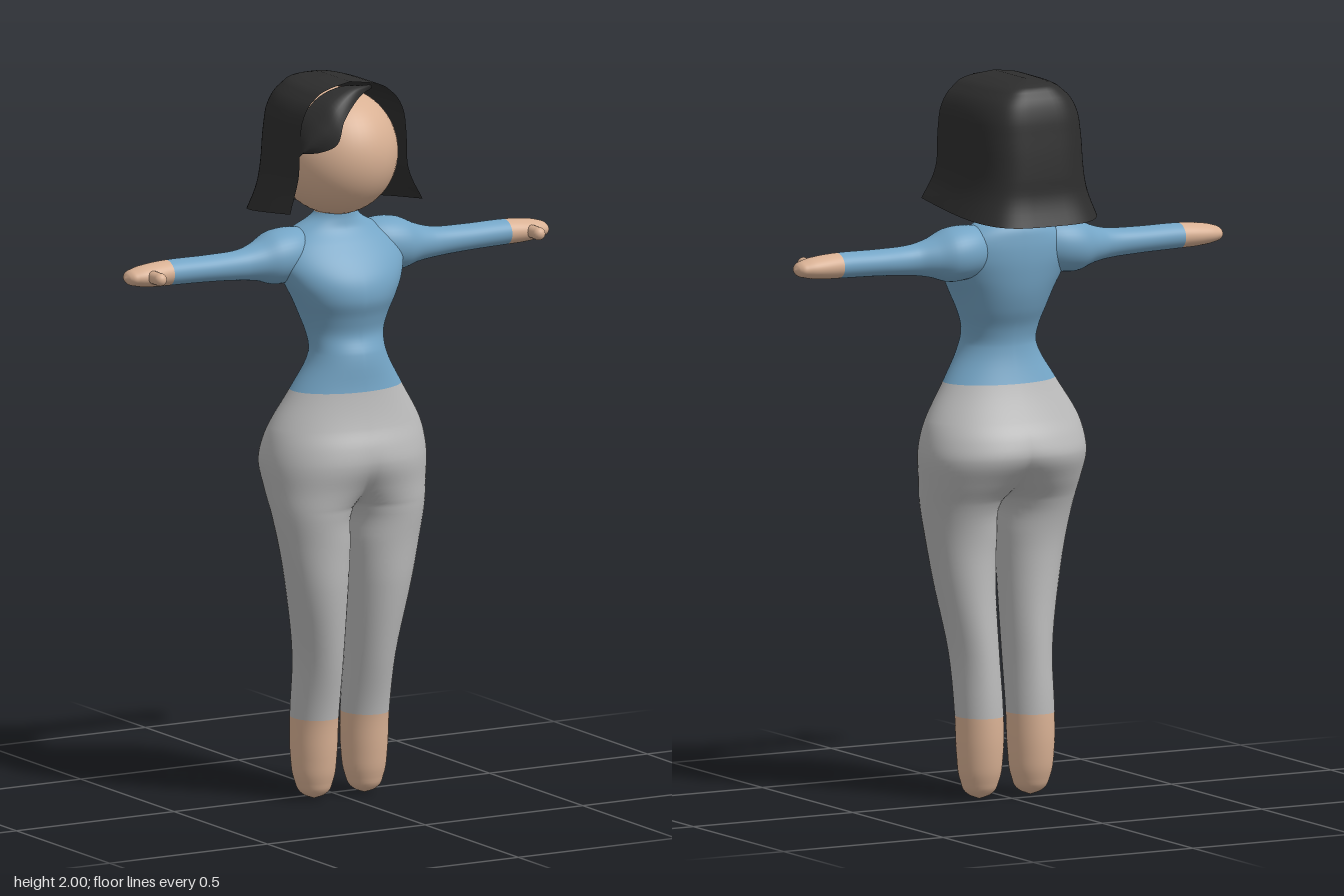
import * as THREE from 'three';
import { mergeVertices } from 'three/addons/utils/BufferGeometryUtils.js';

const paint = (name, color, side = THREE.FrontSide) => {
  const m = new THREE.MeshStandardMaterial({ color, side });
  m.name = name;
  return m;
};

// Grid of points (rows x cols) to an indexed smooth geometry
function gridGeometry(rows, flip) {
  const cols = rows[0].length, index = [];
  for (let r = 0; r < rows.length - 1; r++)
    for (let c = 0; c < cols - 1; c++) {
      const a = r * cols + c, b = a + cols;
      if (flip) index.push(a, a + 1, b, b, a + 1, b + 1);
      else index.push(a, b, a + 1, b, b + 1, a + 1);
    }
  const g = new THREE.BufferGeometry();
  g.setAttribute('position', new THREE.Float32BufferAttribute(rows.flat(2), 3));
  g.setIndex(index);
  return g;
}

// Smoothly interpolates key rows [t, ...values], with `sub` steps between keys
function smoothRows(keys, sub) {
  const size = keys[0].length - 1;
  const spline = new THREE.CubicInterpolant(keys.map(k => k[0]), keys.flatMap(k => k.slice(1)), size);
  const out = [];
  keys.forEach((k, i) => {
    out.push(k);
    if (i === keys.length - 1) return;
    for (let s = 1; s < sub; s++) {
      const t = THREE.MathUtils.lerp(k[0], keys[i + 1][0], s / sub);
      out.push([t, ...Array.from(spline.evaluate(t))]);
    }
  });
  return out;
}

// Loft of ellipses [t, centre, radius, zFront, zBack], along y or along x.
// Along y, sections are cut at x = 0 so two mirrored halves join into one body.
// `cuts` are the t values where the next material starts.
function loft(keys, alongX, cuts) {
  const n = 40, rows = smoothRows(keys, 5);
  const points = rows.map(([t, c, radius, f, b]) => {
    const r = Math.max(radius, 0);
    const end = !alongX && c < r ? Math.acos(-c / r) : Math.PI;
    return Array.from({ length: n + 1 }, (_, i) => {
      const q = end * (2 * i / n - 1);
      const a = c + r * Math.cos(q), z = (f + b) / 2 + (f - b) / 2 * Math.sin(q);
      return alongX ? [t, a, z] : [a, t, z];
    });
  });
  let g = gridGeometry(points, alongX);
  let start = 0;
  [...cuts, Infinity].forEach((cut, i) => {
    const last = cut === Infinity ? rows.length - 1 : rows.findIndex(r => r[0] >= cut);
    g.addGroup(start * n * 6, (last - start) * n * 6, i);
    start = last;
  });
  g = mergeVertices(g, 1e-5);
  g.computeVertexNormals();
  // Level the normals on the middle seam
  const p = g.attributes.position, nm = g.attributes.normal, v = new THREE.Vector3();
  for (let i = 0; i < p.count; i++) if (Math.abs(p.getX(i)) < 1e-4) {
    v.fromBufferAttribute(nm, i).setX(0).normalize();
    nm.setXYZ(i, v.x, v.y, v.z);
  }
  return g;
}

export function createModel() {
  const model = new THREE.Group();
  const skin = paint('skin', 0xd9b194);
  const shirt = paint('blue shirt', 0x74a5c6);
  const trousers = paint('grey trousers', 0xb9b9b9);
  const hairMat = paint('black hair', 0x2d2d2d, THREE.DoubleSide);
  const add = (name, geometry, material, parent = model) => {
    const mesh = new THREE.Mesh(geometry, material);
    mesh.name = name;
    parent.add(mesh);
    return mesh;
  };

  // Foot, leg, hip, waist, chest and neck of one half
  const bodyGeo = loft([
    [0, .08, 0, .04, .04],
    [.012, .08, .03, .07, .01],
    [.05, .08, .053, .092, -.015],
    [.12, .08, .063, .105, -.03],
    [.23, .08, .065, .115, -.033],
    [.4, .083, .065, .15, -.02],
    [.6, .1, .085, .18, -.003],
    [.72, .109, .1, .187, -.005],
    [.82, .114, .114, .197, -.03],
    [.88, .085, .152, .207, -.07],
    [.95, .035, .21, .225, -.113],
    [1, .01, .23, .22, -.105],
    [1.05, 0, .225, .203, -.08],
    [1.15, 0, .165, .183, -.037],
    [1.25, 0, .11, .175, -.012],
    [1.3, 0, .112, .157, -.02],
    [1.35, 0, .128, .167, -.043],
    [1.4, 0, .15, .184, -.06],
    [1.45, 0, .175, .178, -.07],
    [1.5, 0, .19, .15, -.075],
    [1.55, 0, .172, .11, -.073],
    [1.585, 0, .125, .08, -.065],
    [1.61, 0, .08, .072, -.045],
    [1.63, 0, .062, .07, -.03],
    [1.68, 0, .058, .07, -.03],
  ], false, [.23, 1.15, 1.63]);

  // Shoulder, sleeve and hand
  const armGeo = loft([
    [.08, 1.525, .06, .06, -.045],
    [.14, 1.52, .074, .085, -.066],
    [.2, 1.515, .073, .088, -.066],
    [.25, 1.511, .054, .075, -.043],
    [.3, 1.508, .043, .066, -.022],
    [.4, 1.509, .037, .064, -.02],
    [.535, 1.511, .035, .064, -.02],
    [.59, 1.51, .032, .066, -.02],
    [.64, 1.509, .024, .059, -.013],
    [.662, 1.508, .014, .045, 0],
    [.67, 1.508, 0, .022, .022],
  ], true, [.535]);

  for (const [side, s] of [['left', 1], ['right', -1]]) {
    const half = new THREE.Group();
    half.name = side + 'Side';
    half.scale.x = s;
    model.add(half);
    add(side + 'BodyAndLeg', bodyGeo, [skin, trousers, shirt, skin], half);
    add(side + 'Arm', armGeo, [shirt, skin], half);
    const thumb = add(side + 'Thumb', new THREE.CapsuleGeometry(.018, .05, 8, 16), skin, half);
    thumb.rotation.x = Math.PI / 2;
    thumb.position.set(.6, 1.511, .07);
  }

  // Head
  const head = add('head', new THREE.SphereGeometry(1, 48, 32), skin);
  head.scale.set(.168, .175, .18);
  head.position.set(0, 1.795, .02);

  // Bobbed hair: U-shaped rows [depth below crown, half width, zFront, zBack], open at the face
  const bob = smoothRows([
    [0, 0, .1, -.06],
    [.01, .07, .11, -.12],
    [.035, .12, .112, -.153],
    [.08, .155, .114, -.175],
    [.15, .168, .115, -.187],
    [.25, .173, .115, -.198],
    [.3, .186, .119, -.202],
    [.36, .21, .132, -.226],
  ], 4).map(([d, w, f, b]) => Array.from({ length: 41 }, (_, i) => {
    const t = Math.PI * i / 40, c = Math.cos(t);
    const z = f - (f - b) * Math.pow(Math.max(Math.sin(t), 0), .55);
    const tilt = .13 * z * THREE.MathUtils.smoothstep(d, .2, .36);
    return [w * Math.sign(c) * Math.pow(Math.abs(c), .55), 2 - d + tilt, z];
  }));
  const bobGeo = gridGeometry(bob, false);
  bobGeo.computeVertexNormals();
  add('bobbedHair', bobGeo, hairMat);

  // Fringe swept to one side: strip between the hairline and its lower edge
  const curve = pts => new THREE.CatmullRomCurve3(pts.map(p => new THREE.Vector3(...p)));
  const top = curve([[-.17, 1.8, .1], [-.165, 1.87, .1], [-.145, 1.925, .1],
    [-.1, 1.968, .1], [-.03, 1.99, .1], [.05, 1.985, .1]]);
  const low = curve([[-.165, 1.82, .12], [-.13, 1.825, .155], [-.09, 1.848, .182],
    [-.065, 1.91, .178], [0, 1.965, .148], [.06, 1.978, .112]]);
  const strip = [];
  for (let i = 0; i <= 30; i++) {
    const a = top.getPoint(i / 30), b = low.getPoint(i / 30);
    strip.push(Array.from({ length: 9 }, (_, j) => {
      const p = a.clone().lerp(b, j / 8), k = .018 * Math.sin(Math.PI * j / 8);
      return [p.x - .2 * k, p.y + .5 * k, p.z + k];
    }));
  }
  const fringeGeo = gridGeometry(strip, true);
  fringeGeo.computeVertexNormals();
  add('fringe', fringeGeo, hairMat);

  return model;
}
